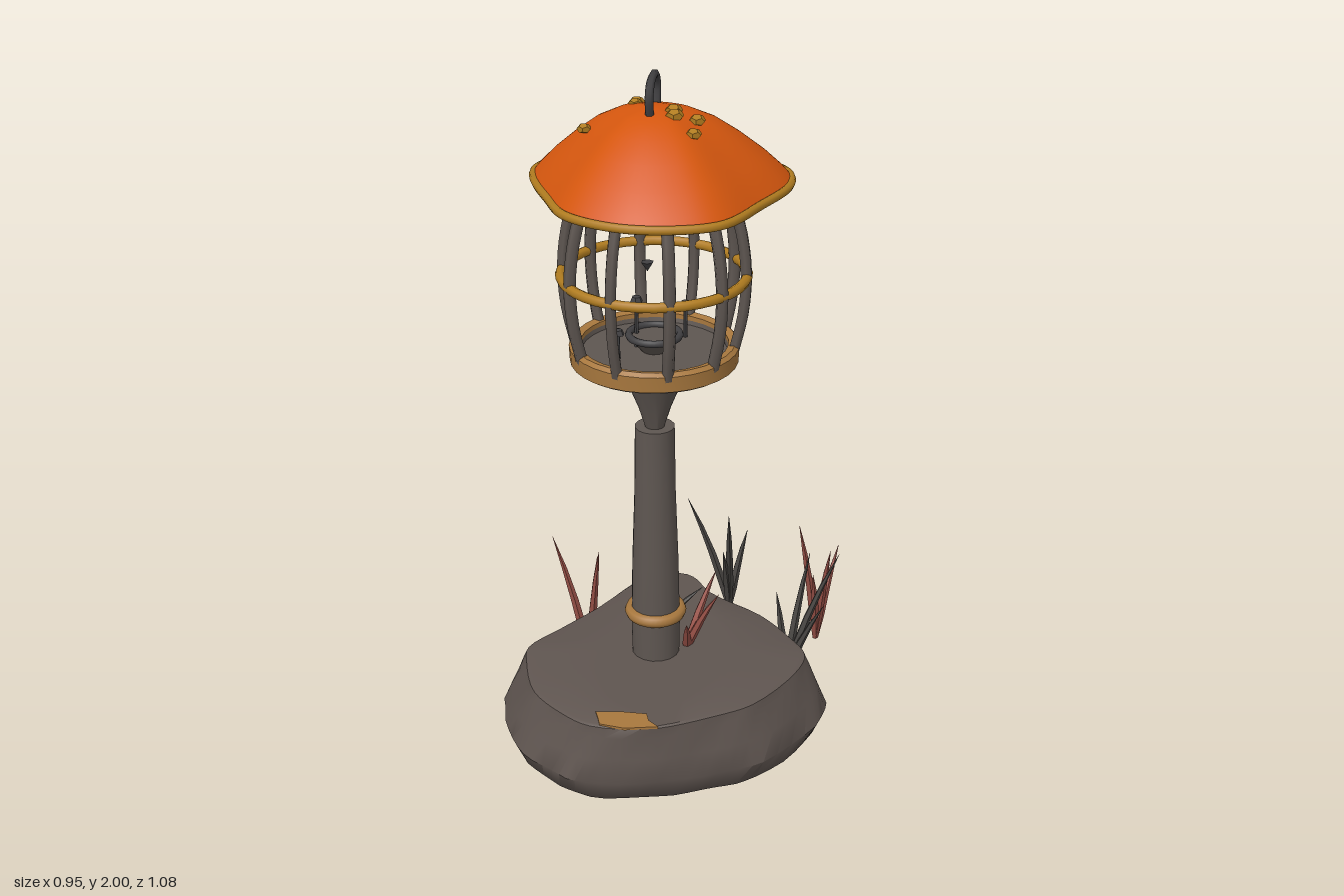
import * as THREE from 'three';
import { toCreasedNormals } from 'three/addons/utils/BufferGeometryUtils.js';

const mat = (name, color) => Object.assign(new THREE.MeshStandardMaterial({ color }), { name });
const stone = mat('stone', 0x5f5550), iron = mat('iron', 0x5e5651), dark = mat('dark iron', 0x414042),
  orange = mat('orange cap', 0xd4560e), gold = mat('gold', 0xb07c20), tan = mat('tan', 0xa8783e),
  purple = mat('purple gills', 0x4f3354), red = mat('red grass', 0x9a5248), grey = mat('grey grass', 0x4b4845);

const AX = -0.035, AZ = 0.112; // axis of the lantern
const V = (x, y, z) => new THREE.Vector3(x, y, z);

// Joins closed rings (bottom to top) of n points; f(ring, point) returns [x, y, z]
function loft(rings, n, f) {
  const pos = [], index = [];
  for (let i = 0; i < rings; i++) for (let j = 0; j < n; j++) pos.push(...f(i, j));
  for (let i = 0; i < rings - 1; i++) for (let j = 0; j < n; j++) {
    const k = (j + 1) % n, a = i * n + j, b = i * n + k, c = a + n, d = b + n;
    index.push(a, c, b, b, c, d);
  }
  const g = new THREE.BufferGeometry();
  g.setAttribute('position', new THREE.Float32BufferAttribute(pos, 3));
  g.setIndex(index);
  g.computeVertexNormals();
  return g;
}

const outline = (pts) => new THREE.CatmullRomCurve3(pts.map(([x, z]) => V(x, 0, z)), true);

// Linear lookup in a table of [key, value]
function lookup(table, k) {
  for (let i = 1; i < table.length; i++) {
    const [a, p] = table[i - 1], [b, q] = table[i];
    if (k <= b) return p + (q - p) * (k - a) / (b - a);
  }
  return table[table.length - 1][1];
}

export function createModel() {
  const root = new THREE.Group();
  const add = (name, geo, material, parent = root) => {
    const m = new THREE.Mesh(geo, material);
    m.name = name;
    parent.add(m);
    return m;
  };
  const group = (name) => {
    const g = new THREE.Group();
    g.name = name;
    root.add(g);
    return g;
  };
  const lathe = (pts, seg = 32) =>
    toCreasedNormals(new THREE.LatheGeometry(pts.map(([r, y]) => new THREE.Vector2(r, y)), seg), 0.6);

  // Boulder base
  const N = 72;
  const rockPts = outline([[-0.07, -0.35], [0.02, -0.33], [0.09, -0.25], [0.28, -0.15], [0.40, -0.03], [0.465, 0.07],
    [0.44, 0.19], [0.31, 0.38], [0.19, 0.45], [0.03, 0.515], [-0.17, 0.545], [-0.27, 0.505], [-0.39, 0.41],
    [-0.46, 0.25], [-0.475, 0.16], [-0.39, 0.03], [-0.27, -0.13], [-0.14, -0.32]]).getPoints(N);
  // [height, share of the top's inset, plain inset]
  const rockRings = [[0, 0, 1], [0, 0, 0.5], [0.018, 0, 0.22], [0.06, 0, 0.07], [0.13, 0, 0], [0.2, 0.35, 0],
    [0.265, 0.75, 0], [0.295, 0.95, 0], [0.3, 1.15, 0], [0.3, 4, 0], [0.3, 0, 1]];
  const rock = loft(rockRings.length, N, (i, j) => {
    const [y, w, inset] = rockRings[i], p = rockPts[j], dx = p.x, dz = p.z - 0.1;
    const side = Math.abs(dx) / Math.hypot(dx, dz);
    const wave = i > 1 && i < 7 ? 0.012 * Math.sin(j * 0.7 + i * 1.3) : 0;
    const s = inset === 1 ? 0 : 1 - inset - w * (0.05 + 0.11 * side) - Math.abs(wave);
    return [dx * s, y, 0.1 + dz * s];
  });
  add('boulder', toCreasedNormals(rock, 0.7), stone);

  // Worn patch on the boulder
  const patch = new THREE.Shape([[-0.15, -0.45], [-0.08, -0.44], [-0.01, -0.44], [0, -0.47], [0.03, -0.495],
    [-0.06, -0.515], [-0.13, -0.505], [-0.14, -0.475]].map(([x, y]) => new THREE.Vector2(x, y)));
  const patchMesh = add('boulderPatch', new THREE.ExtrudeGeometry(patch, { depth: 0.007, bevelEnabled: false }), tan);
  patchMesh.rotation.x = -Math.PI / 2;
  patchMesh.position.y = 0.296;

  // Lantern: post, funnel, cage
  const lantern = group('lantern');
  lantern.position.set(AX, 0, AZ);
  const ring = (name, r, tube, y, material) => {
    const m = add(name, new THREE.TorusGeometry(r, tube, 8, 40), material, lantern);
    m.rotation.x = Math.PI / 2;
    m.position.y = y;
  };
  add('post', lathe([[0.068, 0.28], [0.07, 0.4], [0.066, 0.6], [0.058, 0.82], [0.055, 1.02], [0, 1.02]], 16), iron, lantern);
  ring('postCollar', 0.07, 0.018, 0.435, tan);
  add('funnel', lathe([[0, 1.005], [0.022, 1.005], [0.045, 1.08], [0.073, 1.15], [0.215, 1.215], [0.215, 1.265],
    [0.2, 1.265], [0.195, 1.245], [0, 1.245]]), iron, lantern);
  add('cageBand', lathe([[0.21, 1.218], [0.226, 1.222], [0.228, 1.265], [0.218, 1.275], [0.198, 1.27], [0.198, 1.25]]), tan, lantern);
  const bar = new THREE.CatmullRomCurve3([V(0.212, 1.25, 0), V(0.236, 1.36, 0), V(0.243, 1.47, 0), V(0.23, 1.58, 0), V(0.2, 1.69, 0)]);
  for (let i = 0; i < 10; i++) {
    add('cageBar', new THREE.TubeGeometry(bar, 12, 0.016, 6), iron, lantern).rotation.y = i * Math.PI / 5;
  }
  ring('cageMiddleRing', 0.245, 0.014, 1.465, gold);
  ring('cageTopRing', 0.2, 0.014, 1.685, gold);

  // Small things inside the cage
  ring('wickRing', 0.068, 0.01, 1.29, dark);
  add('wickDish', lathe([[0.03, 1.24], [0.068, 1.285], [0, 1.285]], 16), iron, lantern);
  for (const [x, z, h] of [[-0.05, -0.015, 0.13], [0.07, -0.1, 0.09], [-0.085, 0.075, 0.07]]) {
    const s = add('tinyMushroom', lathe([[0.006, 0], [0.006, h], [0.018, h], [0.012, h + 0.014], [0, h + 0.018]], 6), dark, lantern);
    s.position.set(x, 1.245, z);
  }
  for (const [x, y, z] of [[-0.035, 1.635, 0.073], [-0.035, 1.585, -0.07], [0, 1.523, 0.108]]) {
    const s = add('floatingSpore', new THREE.ConeGeometry(0.017, 0.026, 6), dark, lantern);
    s.position.set(x, y, z);
    s.rotation.x = Math.PI;
  }

  // Mushroom cap with rim and gills
  const M = 96;
  const capCurve = outline([[0, -0.22], [0.19, -0.16], [0.30, -0.06], [0.318, 0.06], [0.257, 0.23], [0.18, 0.39],
    [0.075, 0.443], [-0.07, 0.45], [-0.215, 0.38], [-0.29, 0.25], [-0.36, 0.09], [-0.37, 0], [-0.30, -0.12], [-0.17, -0.195]]);
  const capPts = capCurve.getPoints(M);
  const capTable = [[0, 1.912], [0.12, 1.91], [0.28, 1.897], [0.45, 1.868], [0.62, 1.825], [0.8, 1.772], [0.92, 1.73], [0.985, 1.703]];
  const at = (j, k, y) => [AX + (capPts[j].x - AX) * k, y, AZ + (capPts[j].z - AZ) * k];
  add('cap', loft(capTable.length, M, (i, j) => at(j, ...capTable[capTable.length - 1 - i])), orange);
  const gillTable = [[0, 1.685], [0.3, 1.68], [0.6, 1.684], [0.985, 1.7]];
  add('gills', toCreasedNormals(loft(4, M, (i, j) =>
    at(j, gillTable[i][0], gillTable[i][1] + (j % 2 && i % 3 ? 0.014 : 0))), 0.3), purple);
  const rim = new THREE.CatmullRomCurve3(capPts.slice(0, M).map((p, j) => V(...at(j, 0.975, 1.702))), true);
  add('capRim', new THREE.TubeGeometry(rim, 96, 0.012, 8, true), gold);

  // Spots on the cap
  for (const [x, z, r] of [[-0.073, -0.073, 0.019], [-0.09, 0.03, 0.022], [-0.09, 0.06, 0.018], [-0.21, 0.128, 0.019],
    [0.02, 0.13, 0.024], [0.026, 0.158, 0.024], [0.08, 0.137, 0.022], [0.08, 0.205, 0.021]]) {
    const spot = add('capSpot', toCreasedNormals(new THREE.DodecahedronGeometry(r), 0.1), gold);
    spot.position.set(x, lookup(capTable, Math.hypot(x - AX, z - AZ) / 0.335) + 0.002, z);
    spot.scale.y = 0.7;
  }

  // Hanging loop
  const loop = new THREE.CatmullRomCurve3([[0.055, 1.89], [0.065, 1.95], [0.045, 1.978], [0, 1.989], [-0.04, 1.983],
    [-0.062, 1.95], [-0.052, 1.89]].map(([z, y]) => V(AX, y, AZ + z)));
  add('hangingLoop', new THREE.TubeGeometry(loop, 24, 0.011, 6), dark);

  // Grass clumps: a base, then the tips of the blades
  const blade = (base, tip) => {
    const mid = V((base.x * 2 + tip.x) / 3, (base.y + tip.y) / 2, (base.z * 2 + tip.z) / 3);
    const curve = new THREE.QuadraticBezierCurve3(base, mid, tip), radii = [0.009, 0.014, 0.012, 0.008, 0.0005];
    return toCreasedNormals(loft(5, 5, (i, j) => {
      const p = curve.getPoint(i / 4), a = j * Math.PI * 0.4;
      return [p.x + radii[i] * Math.cos(a), p.y, p.z + radii[i] * Math.sin(a)];
    }), 0.3);
  };
  const clumps = [
    ['backGrass', grey, [0.108, 0.06, -0.53], [[-0.023, 0.48, -0.48], [0.125, 0.51, -0.325], [0.163, 0.35, -0.535], [0.1, 0.34, -0.4]]],
    ['backLeftGrass', red, [0.4, 0.06, -0.385], [[0.457, 0.35, -0.48], [0.343, 0.51, -0.3], [0.39, 0.34, -0.3], [0.44, 0.42, -0.315]]],
    ['leftGrass', grey, [0.325, 0.06, -0.152], [[0.473, 0.51, -0.143], [0.435, 0.36, -0.09], [0.385, 0.49, -0.175], [0.29, 0.36, -0.155]]],
    ['rightGrass', red, [-0.285, 0.06, -0.16], [[-0.38, 0.52, -0.11], [-0.345, 0.36, -0.13], [-0.23, 0.51, -0.06], [-0.26, 0.42, -0.19]]],
    ['postRedGrass', red, [0.05, 0.28, 0.07], [[0.125, 0.51, 0], [0.145, 0.49, 0.1], [0.06, 0.41, 0.15]]],
    ['postGreyGrass', grey, [-0.05, 0.28, -0.02], [[-0.13, 0.48, -0.24], [0.08, 0.42, -0.05], [-0.12, 0.4, 0.01]]],
  ];
  for (const [name, material, base, tips] of clumps) {
    const g = group(name);
    tips.forEach((t) => add('blade', blade(V(...base), V(...t)), material, g));
  }
  return root;
}
